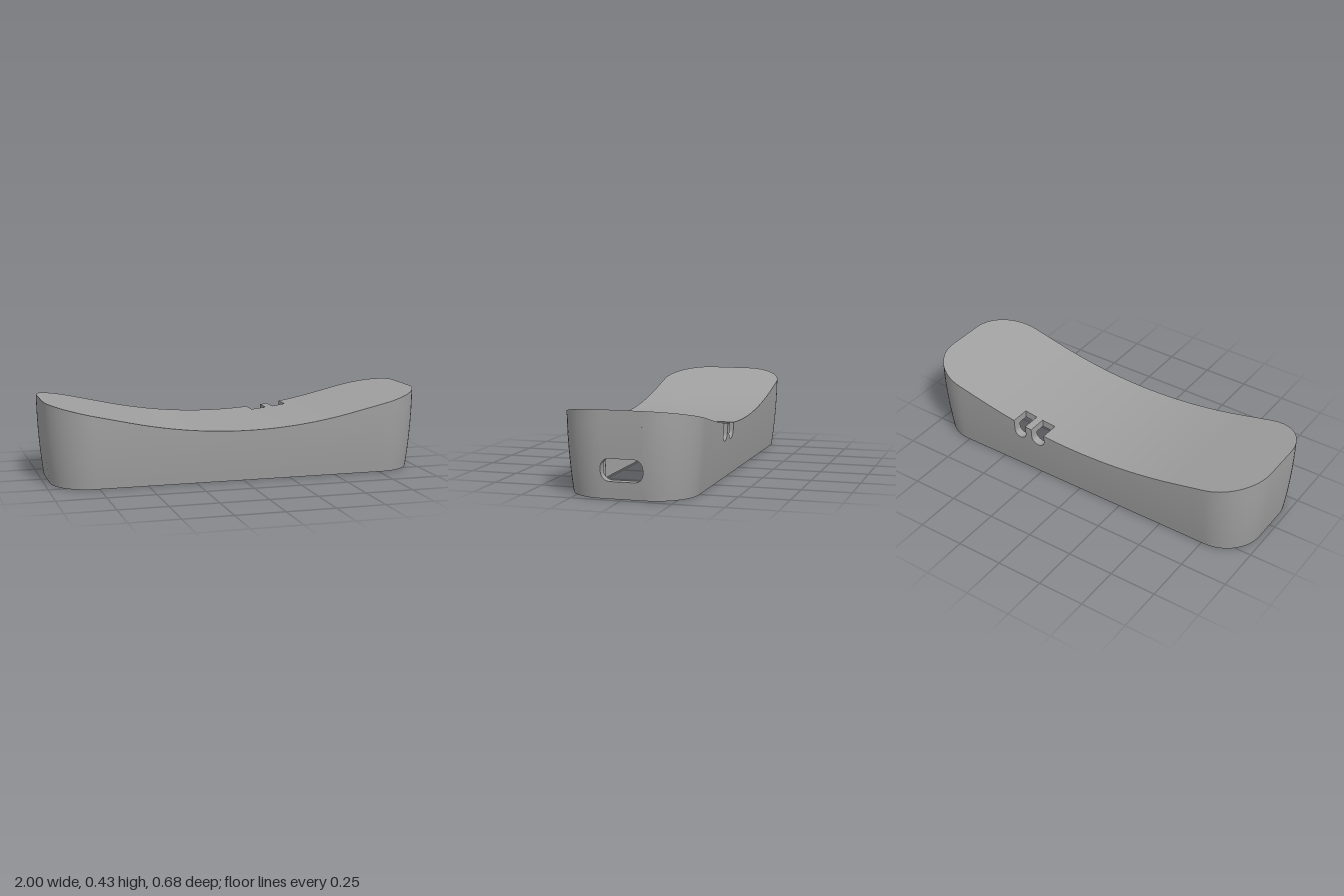
import * as THREE from 'three';
import { mergeGeometries, toCreasedNormals } from 'three/addons/utils/BufferGeometryUtils.js';

const R = 0.235, CX = 0.765, CZ = 0.105;   // corner radius and corner centres
const WALL = 0.045, ROOF = 0.04;           // shell thicknesses
const PORT_Y = 0.14;                       // middle height of the end port
const CUT_Z = -0.235;                      // inner end of the cable notches
const NOTCHES = [{ x: 0.25, r: 0.04 }, { x: 0.365, r: 0.036 }];

// Height of the saddle-shaped roof: a parabola running out into straight ends
function roofY(x) {
  const a = Math.abs(x);
  return a < 0.6 ? 0.265 + 0.193 * a * a : 0.3345 + (a - 0.6) * 0.228;
}

// Point on the flared wall at column c and height y, moved inward by off
function wallPoint(c, y, off) {
  const k = Math.max(0, 1 - y / 0.425);
  const r = R - 0.03 * k * k - off;
  return new THREE.Vector3(c.cx + c.nx * r, y, c.cz + c.nz * r);
}
const topOf = (c) => roofY(c.cx + c.nx * R);

// Surface through equally long rows of points
function loft(rows) {
  const n = rows[0].length, index = [];
  for (let i = 0; i < rows.length - 1; i++) {
    for (let j = 0; j < n - 1; j++) {
      const a = i * n + j, b = a + n;
      index.push(a, a + 1, b + 1, a, b + 1, b);
    }
  }
  const g = new THREE.BufferGeometry().setFromPoints(rows.flat());
  g.setIndex(index);
  return g;
}

// Wall columns of one long half, from the -x end to the +x end
function halfColumns() {
  const cols = [{ cx: -CX, cz: 0, nx: -1, nz: 0 }];
  const arc = (sx, i) => {
    const t = (i / 14) * Math.PI / 2;
    cols.push({ cx: sx * CX, cz: CZ, nx: sx * Math.cos(t), nz: Math.sin(t) });
  };
  for (let i = 0; i <= 14; i++) arc(-1, i);
  const straight = [];
  for (let i = 1; i < 36; i++) {
    const x = -CX + (2 * CX * i) / 36;
    if (NOTCHES.every((n) => Math.abs(x - n.x) > n.r + 0.002)) straight.push({ x });
  }
  NOTCHES.forEach((n, id) => {
    straight.push({ x: n.x - n.r, edge: id });
    for (let i = 0; i <= 12; i++) {
      const t = (i / 12) * Math.PI;
      straight.push({ x: n.x - n.r * Math.cos(t), floor: 0.235 - n.r * Math.sin(t), edge: id });
    }
    straight.push({ x: n.x + n.r, edge: id });
  });
  straight.sort((a, b) => a.x - b.x);
  straight.forEach((s) => cols.push({ cx: s.x, cz: CZ, nx: 0, nz: 1, floor: s.floor, edge: s.edge }));
  for (let i = 14; i >= 0; i--) arc(1, i);
  // Rounded port in the +x end
  const end = (z, h) => cols.push({ cx: CX, cz: z, nx: 1, nz: 0, h, port: true });
  end(0.105, 0);
  for (let i = 0; i <= 8; i++) {
    const t = Math.PI / 2 * (1 - i / 8);
    end(0.06 + 0.045 * Math.sin(t), 0.01 + 0.045 * Math.cos(t));
  }
  end(0, 0.055);
  return cols;
}

export function createModel() {
  const group = new THREE.Group();
  const grey = new THREE.MeshStandardMaterial({ color: 0xa0a0a0, side: THREE.DoubleSide });
  grey.name = 'grey plastic';
  const add = (name, geo, x = 0, y = 0, z = 0) => {
    const m = new THREE.Mesh(geo, grey);
    m.name = name;
    m.position.set(x, y, z);
    group.add(m);
  };
  const addLofts = (name, list) => add(name, toCreasedNormals(mergeGeometries(list.map(loft)), 0.5));

  const half = halfColumns();
  const back = half.map((c) => ({ ...c, cz: -c.cz, nz: -c.nz }));
  const front = half.map((c) => ({ ...c, floor: undefined, edge: undefined }));
  const ring = [...front, ...[...back].reverse()];

  // Outer and inner walls, each split at the port height
  const bands = (off, drop) => {
    const band = (lo, hi) => [0, 1, 2, 3, 4, 5].map((i) => ring.map((c) =>
      wallPoint(c, THREE.MathUtils.lerp(lo(c), hi(c), i / 5), off)));
    return [
      band(() => 0, (c) => PORT_Y - (c.h || 0)),
      band((c) => PORT_Y + (c.h || 0), (c) => c.floor ?? topOf(c) - drop),
    ];
  };
  addLofts('outerWall', bands(0, 0));
  addLofts('innerWall', bands(WALL, ROOF));

  // Edges joining the outer and inner walls
  const rim = (cols, y) => [0, WALL].map((off) => cols.map((c) => wallPoint(c, y(c), off)));
  addLofts('bottomRim', [rim(ring, () => 0)]);
  const port = ring.filter((c) => c.port);
  addLofts('portRim', [rim(port, (c) => PORT_Y - c.h), rim(port, (c) => PORT_Y + c.h)]);

  // Roof and ceiling, straight across the depth, stopping short at the notches
  const sheet = (off, drop) => {
    const at = (c) => wallPoint(c, topOf(c) - drop, off);
    return [front.map(at), back.map((c) => {
      const p = at(c);
      if (c.floor !== undefined) p.z = CUT_Z;
      return p;
    })];
  };
  addLofts('roof', [sheet(0, 0)]);
  addLofts('ceiling', [sheet(WALL, ROOF)]);

  // Cable notches: rounded floor, cut roof end and cut roof sides
  NOTCHES.forEach((n, id) => {
    const cols = back.filter((c) => c.edge === id);
    const cut = cols.map((c) => new THREE.Vector3(c.cx, topOf(c), CUT_Z));
    const lower = cut.map((p) => new THREE.Vector3(p.x, p.y - ROOF, p.z));
    const sides = [cols[0], cols[cols.length - 1]].map((c) => [0, ROOF].map((d) => {
      const p = wallPoint(c, topOf(c) - d, WALL);
      return [p, new THREE.Vector3(p.x, p.y, CUT_Z)];
    }));
    addLofts('cableNotch', [rim(cols, (c) => c.floor ?? topOf(c)), [cut, lower], ...sides]);
  });

  // Screw posts in the corners
  const profile = [[0, 0.12], [0.022, 0.12], [0.022, 0.006], [0.05, 0.006], [0.05, 0.36]]
    .map(([x, y]) => new THREE.Vector2(x, y));
  const post = toCreasedNormals(new THREE.LatheGeometry(profile, 28), 0.5);
  for (const x of [-0.85, 0.85]) for (const z of [-0.18, 0.18]) add('screwPost', post, x, 0, z);

  // Cross ribs hanging from the ceiling to one level
  for (const x of [-0.75, -0.37, 0.02, 0.12, 0.49]) {
    const h = roofY(x) - ROOF + 0.01 - 0.215;
    add('ceilingRib', new THREE.BoxGeometry(0.018, h, 0.58), x, 0.215 + h / 2, 0);
  }

  // Snap ridges along the long inner walls
  for (const s of [-1, 1]) add('snapRidge', new THREE.BoxGeometry(0.93, 0.024, 0.03), 0, 0.11, s * 0.268);

  return group;
}
